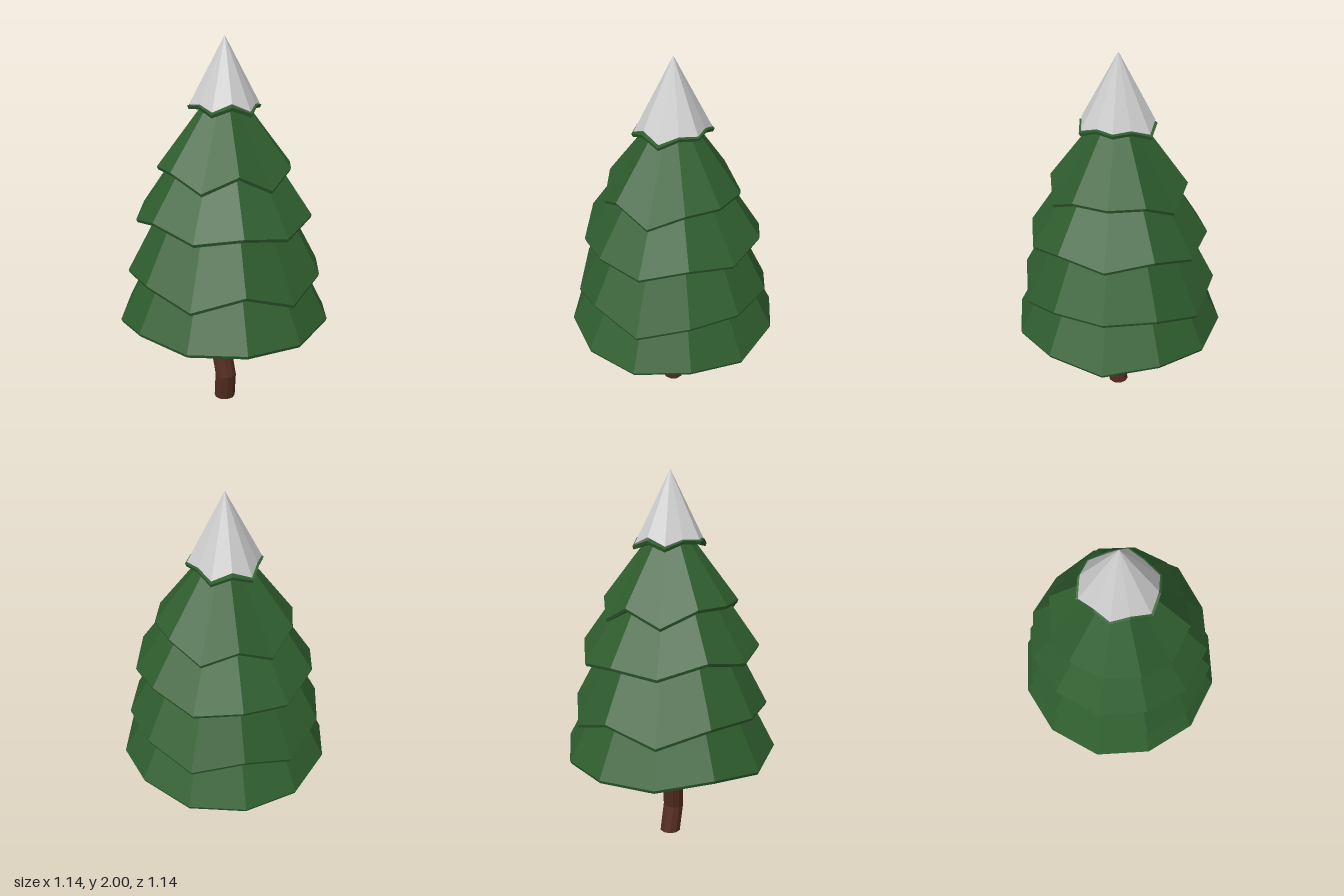
import * as THREE from 'three';

const SIDES = 12;
const material = (color) => new THREE.MeshStandardMaterial({ color, flatShading: true });

// Values run from the side (0 deg) to the front (90 deg), mirrored over both axes
const FOLD = [0, 1, 2, 3, 2, 1];
const at = (v, i) => (Array.isArray(v) ? v[FOLD[i % 6]] : v);

// Faceted cone with a zigzag rim, a thin lip and a closed underside
function zigzagCone({ radius, rim, apex, lip, under }) {
  const corner = (i, inset, lift) => {
    const a = (i / SIDES) * Math.PI * 2;
    const r = at(radius, i) - inset;
    return [r * Math.cos(a), at(rim, i) + lift, -r * Math.sin(a)];
  };
  const pos = [];
  for (let i = 0; i < SIDES; i++) {
    const a = corner(i, 0, lip), b = corner(i + 1, 0, lip);
    const c = corner(i, 0.006, 0), d = corner(i + 1, 0.006, 0);
    pos.push(...a, ...b, 0, apex, 0);
    pos.push(...c, ...d, ...b, ...c, ...b, ...a);
    pos.push(...d, ...c, 0, under, 0);
  }
  const geo = new THREE.BufferGeometry();
  geo.setAttribute('position', new THREE.Float32BufferAttribute(pos, 3));
  geo.computeVertexNormals();
  return geo;
}

// Crooked trunk: a cylinder whose rings are shifted along a bent path
function trunkGeometry() {
  const path = [[0, 0, 0], [0, 0.15, 0.03], [-0.022, 0.31, 0], [0.025, 0.6, 0]];
  const geo = new THREE.CylinderGeometry(0.058, 0.058, 3, 10, 3).translate(0, 1.5, 0);
  const p = geo.attributes.position;
  for (let i = 0; i < p.count; i++) {
    const [x, y, z] = path[Math.round(p.getY(i))];
    p.setXYZ(i, p.getX(i) + x, y, p.getZ(i) + z);
  }
  geo.computeVertexNormals();
  return geo;
}

export function createModel() {
  const tree = new THREE.Group();
  tree.name = 'pineTree';
  const add = (name, geo, mat) => {
    const mesh = new THREE.Mesh(geo, mat);
    mesh.name = name;
    tree.add(mesh);
  };

  add('trunk', trunkGeometry(), material(0x552d22));

  // Branch tiers, bottom to top
  const green = material(0x2f5e2f);
  const tiers = [
    { radius: 0.57, rim: [0.505, 0.54, 0.505, 0.505], apex: 1.62, under: 0.56 },
    { radius: 0.52, rim: [0.785, 0.785, 0.7, 0.785], apex: 1.755, under: 0.8 },
    { radius: 0.47, rim: [1.06, 1.1, 1.03, 1.06], apex: 1.77, under: 1.1 },
    { radius: 0.355, rim: [1.335, 1.335, 1.25, 1.335], apex: 1.81, under: 1.36 },
    { radius: [0.193, 0.174, 0.205, 0.192], rim: [1.64, 1.645, 1.61, 1.645], apex: 1.7, under: 1.66 },
  ];
  tiers.forEach((t, i) => add(`branchTier${i + 1}`, zigzagCone({ lip: 0.016, ...t }), green));

  // Snow cap
  add('snowCap', zigzagCone({
    radius: [0.184, 0.164, 0.194, 0.181], rim: [1.66, 1.665, 1.635, 1.675],
    apex: 2, lip: 0.003, under: 1.68,
  }), material(0xcccccc));

  return tree;
}
